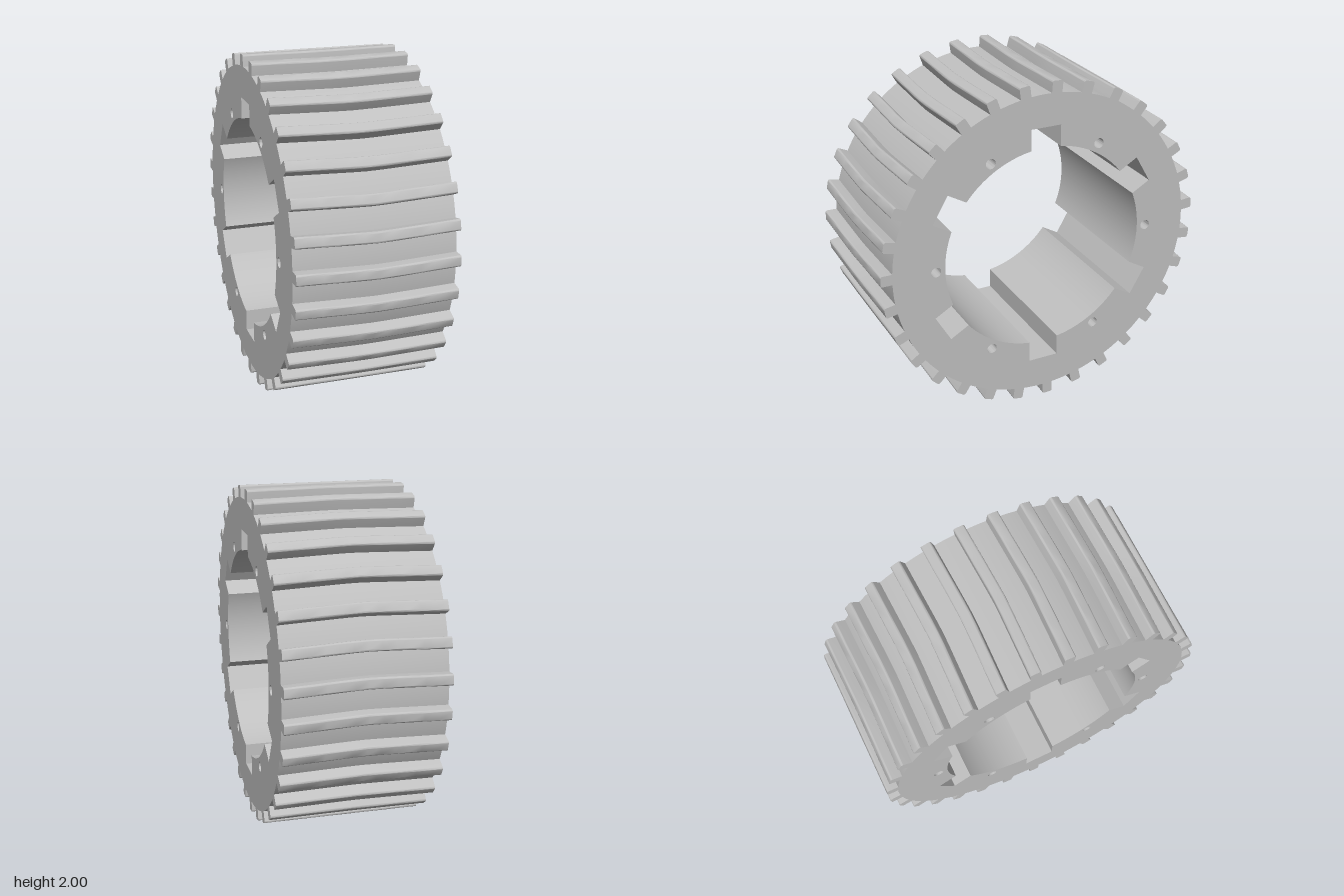
import * as THREE from 'three';
import { toCreasedNormals } from 'three/addons/utils/BufferGeometryUtils.js';

const WIDTH = 0.93, R_BODY = 0.932, R_TIP = 1, R_BORE = 0.62;
const TEETH = 31, SLOTS = 6, SLOT_HALF = 0.092, R_SLOT = 0.74;
const HOLE_R = 0.03, HOLE_AT = 0.675, HOLE_DEPTH = 0.1;

// Extrude a shape along the wheel axis (x), centred.
function extrudeAlongAxis(shape, steps, curveSegments) {
  const g = new THREE.ExtrudeGeometry(shape, { depth: WIDTH, steps, curveSegments, bevelEnabled: false });
  return g.translate(0, 0, -WIDTH / 2);
}

// Ring outline with a slotted bore and a circle of small holes.
function bodyGeometry() {
  const shape = new THREE.Shape();
  shape.absarc(0, 0, R_BODY, 0, Math.PI * 2, false);
  const bore = new THREE.Path();
  const half = Math.asin(SLOT_HALF / R_BORE);
  const step = (Math.PI * 2) / SLOTS;
  for (let i = 0; i < SLOTS; i++) {
    const a = Math.PI / 2 + i * step, c = Math.cos(a), s = Math.sin(a);
    const at = (r, w) => [r * c - w * s, r * s + w * c];
    const rootR = Math.sqrt(R_BORE ** 2 - SLOT_HALF ** 2);
    if (i === 0) bore.moveTo(...at(rootR, -SLOT_HALF));
    bore.lineTo(...at(R_SLOT, -SLOT_HALF));
    bore.lineTo(...at(R_SLOT, SLOT_HALF));
    bore.lineTo(...at(rootR, SLOT_HALF));
    bore.absarc(0, 0, R_BORE, a + half, a + step - half, false);
  }
  shape.holes.push(bore);
  for (let i = 0; i < SLOTS; i++) {
    const hole = new THREE.Path();
    hole.absarc(HOLE_AT * Math.cos(i * step), HOLE_AT * Math.sin(i * step), HOLE_R, 0, Math.PI * 2, true);
    shape.holes.push(hole);
  }
  return toCreasedNormals(extrudeAlongAxis(shape, 1, 64), 0.6).rotateY(Math.PI / 2);
}

// Straight-sided tooth with softened tip edges, bent to a shallow chevron.
function toothGeometry() {
  const w = 0.032, f = 0.011, root = R_BODY - 0.012;
  const shape = new THREE.Shape();
  shape.moveTo(root, -w);
  shape.lineTo(R_TIP - f, -w);
  shape.absarc(R_TIP - f, -w + f, f, -Math.PI / 2, 0, false);
  shape.lineTo(R_TIP, w - f);
  shape.absarc(R_TIP - f, w - f, f, 0, Math.PI / 2, false);
  shape.lineTo(root, w);
  shape.closePath();
  const g = extrudeAlongAxis(shape, 12, 4);
  const p = g.attributes.position;
  const v = new THREE.Vector3(), axis = new THREE.Vector3(0, 0, 1);
  for (let i = 0; i < p.count; i++) {
    v.fromBufferAttribute(p, i);
    const t = Math.abs(v.z) / (WIDTH / 2);
    const bend = 0.0195 * (Math.sqrt(t * t + 0.01) - 0.1);
    v.applyAxisAngle(axis, -bend);
    p.setXYZ(i, v.x, v.y, v.z);
  }
  return toCreasedNormals(g, 0.6).rotateY(Math.PI / 2);
}

export function createModel() {
  const metal = new THREE.MeshStandardMaterial({ color: 0xc0c0c0 });
  metal.name = 'light grey metal';
  const model = new THREE.Group();
  model.name = 'chevronWheel';
  const add = (geometry, name, parent) => {
    const mesh = new THREE.Mesh(geometry, metal);
    mesh.name = name;
    parent.add(mesh);
    return mesh;
  };

  const wheel = new THREE.Group();
  wheel.name = 'wheel';
  wheel.position.y = 1;
  model.add(wheel);
  add(bodyGeometry(), 'slottedRing', wheel);

  // Teeth around the rim
  const teeth = new THREE.Group();
  teeth.name = 'teeth';
  wheel.add(teeth);
  const tooth = toothGeometry();
  for (let i = 0; i < TEETH; i++) {
    add(tooth, 'tooth', teeth).rotation.x = Math.PI + (i * Math.PI * 2) / TEETH;
  }

  // Floors of the blind holes on both faces
  const floors = new THREE.Group();
  floors.name = 'holeFloors';
  wheel.add(floors);
  const disc = new THREE.CircleGeometry(HOLE_R + 0.002, 32);
  for (const side of [1, -1]) {
    for (let i = 0; i < SLOTS; i++) {
      const a = (i * Math.PI * 2) / SLOTS;
      const floor = add(disc, 'holeFloor', floors);
      floor.rotation.y = (side * Math.PI) / 2;
      floor.position.set(side * (WIDTH / 2 - HOLE_DEPTH), HOLE_AT * Math.sin(a), -HOLE_AT * Math.cos(a));
    }
  }
  return model;
}
